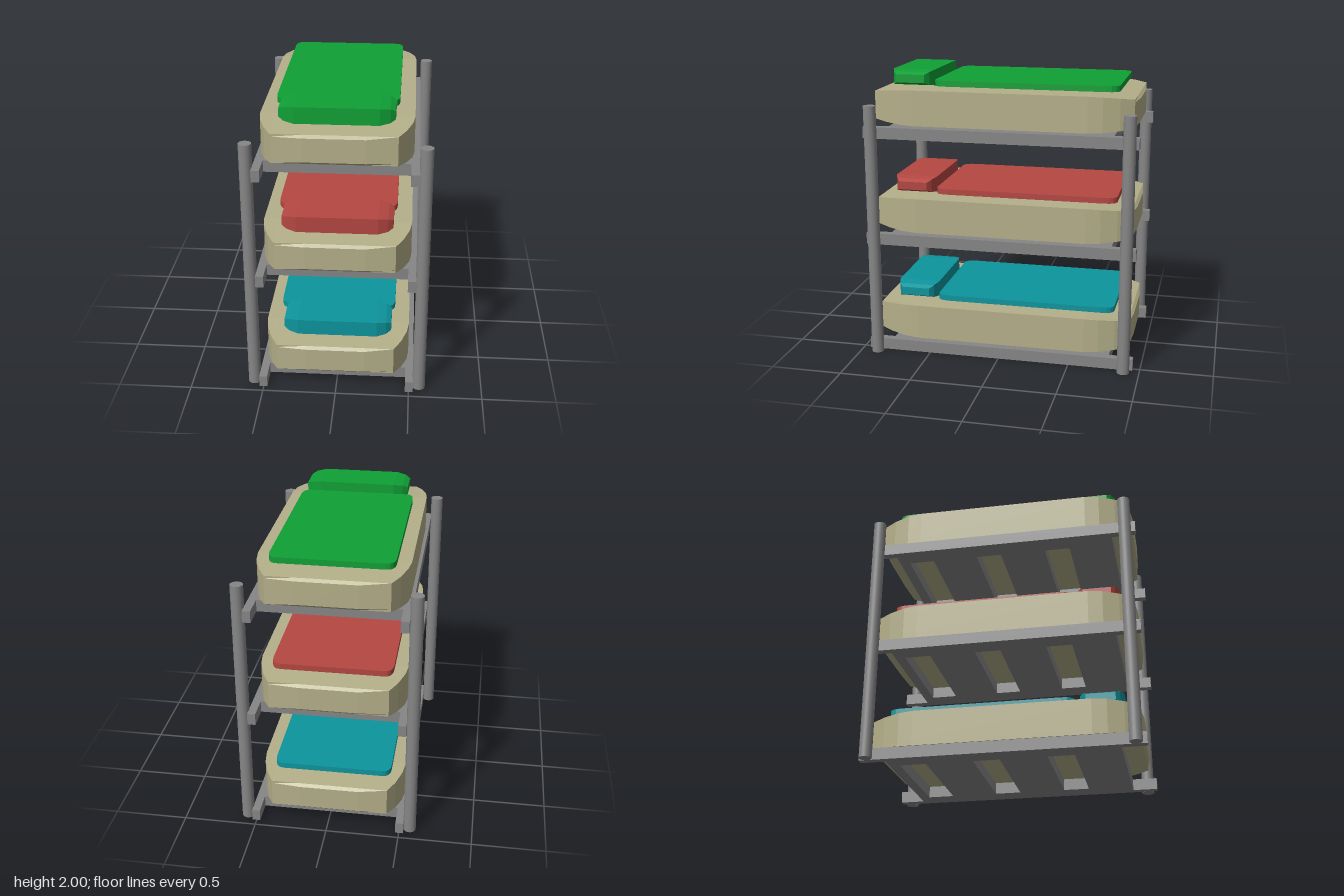
import * as THREE from 'three';

const mat = (name, color) => {
  const m = new THREE.MeshStandardMaterial({ color });
  m.name = name;
  return m;
};

// Skin a list of closed rings and cap both ends
function loft(rings) {
  const n = rings[0].length;
  const pos = rings.flat(2);
  const index = [];
  for (let j = 0; j < rings.length - 1; j++) {
    for (let i = 0; i < n; i++) {
      const k = (i + 1) % n;
      const a = j * n + i, b = a + n, d = j * n + k, c = d + n;
      index.push(a, b, d, b, c, d);
    }
  }
  [rings[0], rings[rings.length - 1]].forEach((ring, end) => {
    const base = end ? (rings.length - 1) * n : 0;
    const centre = pos.length / 3;
    for (let axis = 0; axis < 3; axis++) {
      pos.push(ring.reduce((sum, p) => sum + p[axis], 0) / n);
    }
    for (let i = 0; i < n; i++) {
      const k = (i + 1) % n;
      if (end) index.push(centre, base + k, base + i);
      else index.push(centre, base + i, base + k);
    }
  });
  const g = new THREE.BufferGeometry();
  g.setAttribute('position', new THREE.Float32BufferAttribute(pos, 3));
  g.setIndex(index);
  const flat = g.toNonIndexed();
  flat.computeVertexNormals();
  return flat;
}

// Horizontal slab from a plan shape (shape y becomes z), base at y = 0
function slab(shape, height) {
  const g = new THREE.ExtrudeGeometry(shape, { depth: height, bevelEnabled: false, curveSegments: 4 });
  g.rotateX(Math.PI / 2);
  g.translate(0, height, 0);
  return g;
}

function rectangle(target, x0, x1, z0, z1) {
  target.moveTo(x0, z0);
  target.lineTo(x1, z0);
  target.lineTo(x1, z1);
  target.lineTo(x0, z1);
  target.closePath();
  return target;
}

// Mattress: rounded plan, bulging ends, top and bottom easing off toward the ends
function mattressGeometry() {
  const q = [[0.5, 0.6], [0.487, 0.7], [0.45, 0.81], [0.4, 0.9], [0.2, 0.9]];
  const r = [...q].reverse();
  const outline = [
    ...q,
    ...r.map(([x, z]) => [-x, z]),
    ...q.map(([x, z]) => [-x, -z]),
    ...r.map(([x, z]) => [x, -z]),
  ];
  const half = 0.1225;
  const ease = (z) => 0.025 * Math.max(0, (Math.abs(z) - 0.6) / 0.3) ** 1.5;
  const inner = (s) => outline.map(([x, z]) => [x, s * half, Math.sign(z) * 0.6]);
  const mid = (s) => outline.map(([x, z]) => [x, s * half - s * ease(z), z]);
  const bulge = (s) => outline.map(([x, z]) =>
    [x, s * 0.08, Math.abs(x) < 0.3 ? Math.sign(z) * 0.92 : z]);
  return loft([inner(-1), mid(-1), bulge(-1), bulge(1), mid(1), inner(1)]);
}

// Pillow: full block in the middle, chamfered toward both short ends
function pillowGeometry() {
  const sections = [
    [-0.37, 0.1, 0.028], [-0.335, 0.127, 0.045], [-0.27, 0.15, 0.055],
    [0.27, 0.15, 0.055], [0.335, 0.127, 0.045], [0.37, 0.1, 0.028],
  ];
  return loft(sections.map(([x, z, y]) => [[x, -y, z], [x, y, z], [x, y, -z], [x, -y, -z]]));
}

// Blanket: thin sheet with rounded corners
function blanketGeometry() {
  const x0 = -0.42, x1 = 0.39, z0 = -0.795, z1 = 0.48, c = 0.06;
  const s = new THREE.Shape();
  s.moveTo(x0 + c, z0);
  s.lineTo(x1 - c, z0);
  s.quadraticCurveTo(x1, z0, x1, z0 + c * 1.5);
  s.lineTo(x1, z1 - c * 1.5);
  s.quadraticCurveTo(x1, z1, x1 - c, z1);
  s.lineTo(x0 + c, z1);
  s.quadraticCurveTo(x0, z1, x0, z1 - c * 1.5);
  s.lineTo(x0, z0 + c * 1.5);
  s.quadraticCurveTo(x0, z0, x0 + c, z0);
  return slab(s, 0.04);
}

// Bed base: board between the rails with three open slots
function baseGeometry() {
  const s = rectangle(new THREE.Shape(), -0.475, 0.475, -0.78, 0.78);
  for (const z of [-0.62, -0.12, 0.38]) {
    s.holes.push(rectangle(new THREE.Path(), -0.38, 0.38, z - 0.09, z + 0.09));
  }
  return slab(s, 0.08);
}

export function createModel() {
  const model = new THREE.Group();
  model.name = 'tripleBunkBed';

  const metal = mat('grey metal', 0x868686);
  const cloth = mat('beige mattress', 0xb4af89);
  const bedding = [
    mat('teal bedding', 0x0d959d),
    mat('red bedding', 0xb54742),
    mat('green bedding', 0x10a036),
  ];

  const add = (parent, name, geometry, material, x, y, z) => {
    const m = new THREE.Mesh(geometry, material);
    m.name = name;
    m.position.set(x, y, z);
    parent.add(m);
  };

  // Corner posts
  const post = new THREE.CylinderGeometry(0.043, 0.043, 1.785, 24);
  for (const x of [-0.57, 0.57]) {
    for (const z of [-0.89, 0.88]) add(model, 'post', post, metal, x, 0.8925, z);
  }

  // Three identical bunks
  const rail = new THREE.BoxGeometry(0.055, 0.08, 1.9);
  const base = baseGeometry();
  const mattress = mattressGeometry();
  const blanket = blanketGeometry();
  const pillow = pillowGeometry();
  [0, 0.79, 1.55].forEach((y, i) => {
    const bunk = new THREE.Group();
    bunk.name = 'bunk' + (i + 1);
    bunk.position.y = y;
    model.add(bunk);
    for (const x of [-0.5025, 0.5025]) add(bunk, 'sideRail', rail, metal, x, 0.04, 0);
    add(bunk, 'slottedBase', base, metal, 0, 0, 0);
    add(bunk, 'mattress', mattress, cloth, -0.008, 0.2125, 0);
    add(bunk, 'blanket', blanket, bedding[i], 0, 0.353, 0);
    add(bunk, 'pillow', pillow, bedding[i], 0, 0.397, 0.65);
  });

  return model;
}
